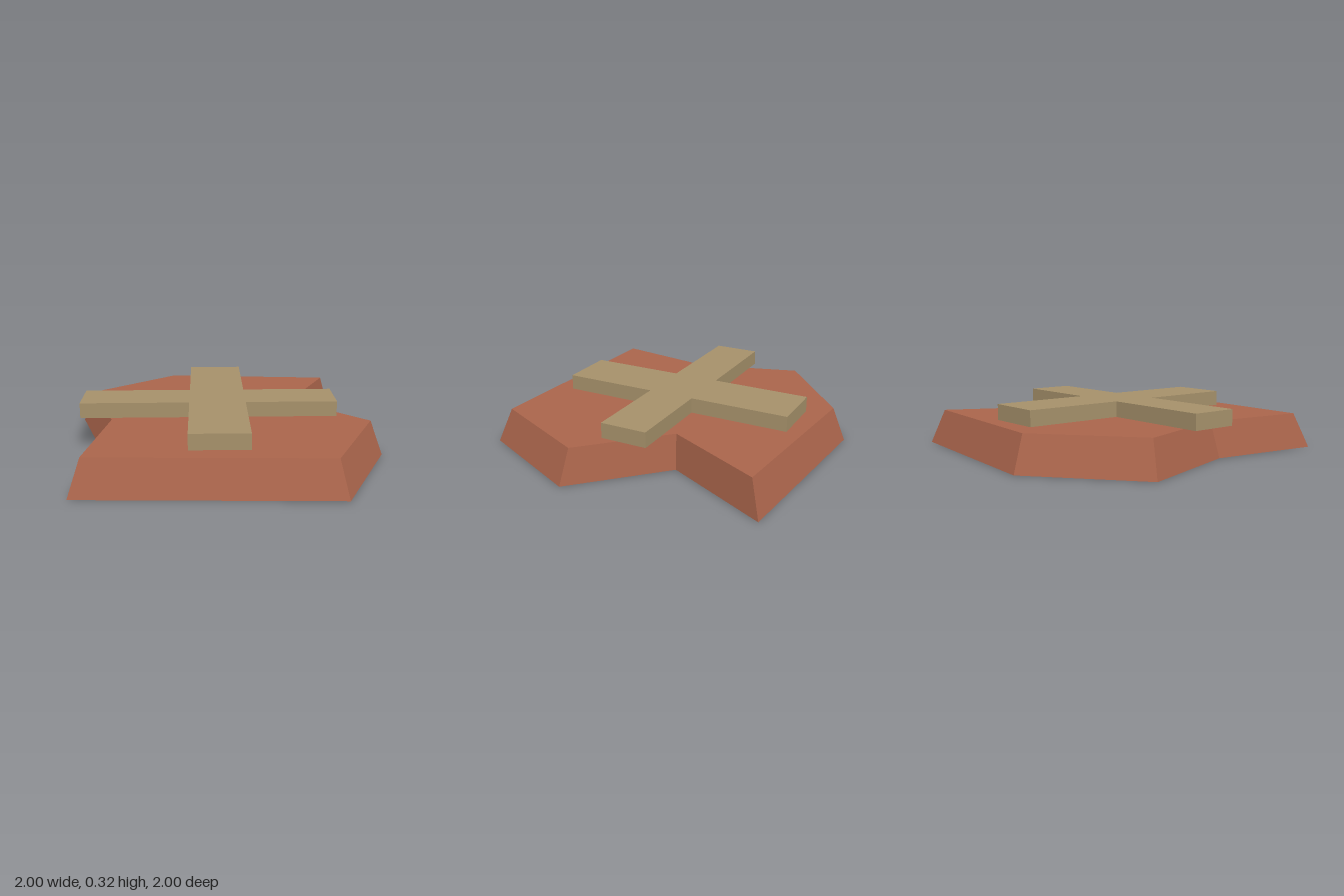
import * as THREE from 'three';

export function createModel() {
  const clay = new THREE.MeshStandardMaterial({ color: 0xa9644b, side: THREE.DoubleSide });
  clay.name = 'clay red';
  const tan = new THREE.MeshStandardMaterial({ color: 0xa5906a });
  tan.name = 'tan';

  const group = new THREE.Group();
  const add = (name, geometry, material) => {
    const mesh = new THREE.Mesh(geometry, material);
    mesh.name = name;
    group.add(mesh);
  };
  // Shape drawn from floor-plan (x, z) points; it lies flat after rotateX(-90 degrees)
  const planShape = (points) => new THREE.Shape(points.map(([x, z]) => new THREE.Vector2(x, -z)));

  // Irregular slab: sloping walls, open underneath
  const height = 0.22, taper = 0.92;
  const outline = [
    [-0.39, -1], [0.83, -0.89], [0.5, -0.22], [1, 0.28],
    [0.665, 1], [-0.89, 0.94], [-0.78, 0.21], [-1, -0.5],
  ];
  const rim = outline.map(([x, z]) => [x * taper, z * taper]);
  const walls = [];
  outline.forEach((p, i) => {
    const j = (i + 1) % outline.length;
    const a = [p[0], 0, p[1]], b = [outline[j][0], 0, outline[j][1]];
    const c = [rim[i][0], height, rim[i][1]], d = [rim[j][0], height, rim[j][1]];
    walls.push(...a, ...c, ...b, ...b, ...c, ...d);
  });
  const wallGeometry = new THREE.BufferGeometry();
  wallGeometry.setAttribute('position', new THREE.Float32BufferAttribute(walls, 3));
  wallGeometry.computeVertexNormals();
  add('slabWalls', wallGeometry, clay);

  const top = new THREE.ShapeGeometry(planShape(rim));
  top.rotateX(-Math.PI / 2).translate(0, height, 0);
  add('slabTop', top, clay);

  // Flat cross resting on the slab
  const [x0, x1, x2, x3] = [-0.92, -0.225, 0.135, 0.72];
  const [z0, z1, z2, z3] = [-0.78, -0.14, 0.16, 0.775];
  const cross = new THREE.ExtrudeGeometry(planShape([
    [x1, z0], [x2, z0], [x2, z1], [x3, z1], [x3, z2], [x2, z2],
    [x2, z3], [x1, z3], [x1, z2], [x0, z2], [x0, z1], [x1, z1],
  ]), { depth: 0.098, bevelEnabled: false });
  cross.rotateX(-Math.PI / 2).translate(0, height + 0.002, 0);
  add('cross', cross, tan);

  return group;
}
